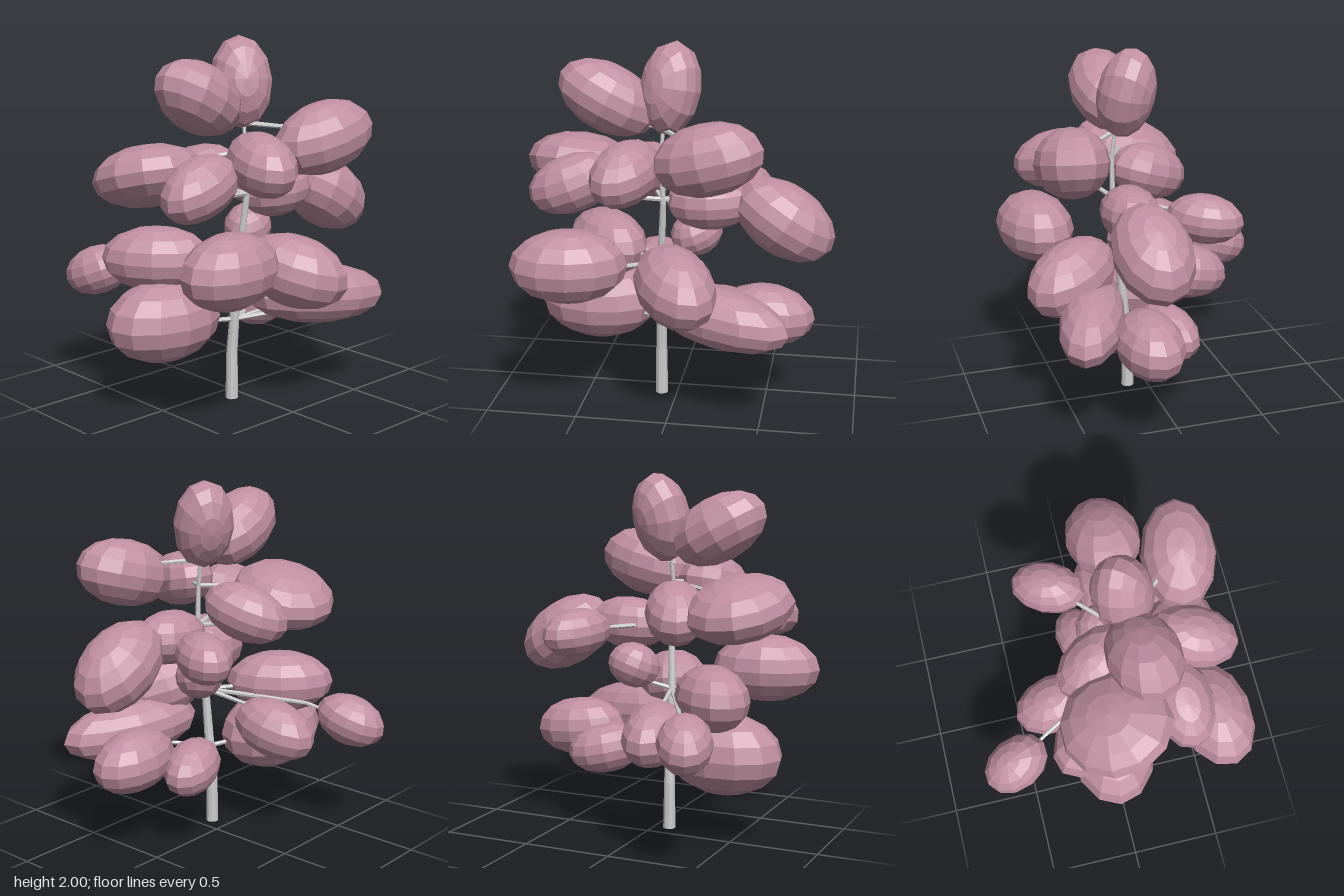
import * as THREE from 'three';

const V = (x, y, z) => new THREE.Vector3(x, y, z);
const { degToRad } = THREE.MathUtils;
const UP = V(0, 1, 0);
const PLUMPNESS = 0.63; // usual half height of a clump relative to its half length
const FLATNESS = 1.07;  // usual half width relative to half height

// Gently bending trunk line, base to top
const TRUNK = [
  V(0.11, 0, 0.087), V(0.11, 0.27, 0.087), V(0.155, 0.8, 0.08),
  V(0.195, 1.15, 0.06), V(0.195, 1.4, 0.07), V(0.17, 1.6, 0.06),
];
const trunkRadius = (y) => 0.036 - 0.017 * y;

// Heights where branches leave the trunk
const WHORLS = [0.46, 0.8, 1.17, 1.4, 1.55];

// Leaf clumps: x, y, z, heading (0 front, 90 left) and rise in degrees,
// half length, then own half height and half width if unusual
const CLUMPS = [
  // crown
  [0.12, 1.76, 0.03, -121, 77, 0.25],
  [0.15, 1.705, 0.36, 6, 29, 0.285],
  // upper tier
  [0.49, 1.48, -0.22, 171, 15, 0.298],
  [0.46, 1.38, 0.21, 72, -13, 0.25],
  [0.335, 1.28, 0.52, 5, -21, 0.245],
  [-0.03, 1.3, 0.55, 75, 17, 0.31, 0.165, 0.295],
  [-0.05, 1.26, 0.19, -65, -20, 0.25],
  [-0.2, 1.14, -0.335, -117, -6, 0.21],
  [0.17, 1.16, -0.19, 180, 3, 0.235],
  [0.17, 1.08, -0.59, -177, -33, 0.3, 0.19, 0.212],
  // lower tier
  [0.04, 0.94, -0.1, -146, 23, 0.15, 0.125],
  [0.54, 0.89, 0.505, 9, 0, 0.31],
  [0.46, 0.775, -0.045, 123, -16, 0.295, 0.192],
  [-0.11, 0.82, 0.43, -50, 0, 0.305, 0.178],
  [-0.28, 0.635, 0.17, -84, -15, 0.25],
  [-0.58, 0.675, 0.475, -68, -21, 0.2, 0.138],
  [0.41, 0.6, -0.27, 159, -5, 0.41, 0.165],
  [-0.02, 0.503, 0.467, -5, 0, 0.335, 0.225],
  [0.16, 0.53, -0.5, -177, -5, 0.268],
  [-0.03, 0.465, -0.24, -160, -12, 0.22],
];

// Point on the trunk at a given height
function trunkAt(y) {
  const i = TRUNK.findIndex((p) => p.y > y);
  const a = TRUNK[i - 1], b = TRUNK[i];
  return a.clone().lerp(b, (y - a.y) / (b.y - a.y));
}

export function createModel() {
  const tree = new THREE.Group();
  tree.name = 'tree';
  const bark = new THREE.MeshStandardMaterial({ color: 0xcccccc, flatShading: true });
  const leaf = new THREE.MeshStandardMaterial({ color: 0xc08fa0, flatShading: true });

  function group(name) {
    const g = new THREE.Group();
    g.name = name;
    tree.add(g);
    return g;
  }

  // Tapered rod between two points
  function rod(name, a, b, ra, rb, sides, parent) {
    const d = b.clone().sub(a);
    const mesh = new THREE.Mesh(new THREE.CylinderGeometry(rb, ra, d.length(), sides), bark);
    mesh.position.copy(a).addScaledVector(d, 0.5);
    mesh.quaternion.setFromUnitVectors(UP, d.normalize());
    mesh.name = name;
    parent.add(mesh);
  }

  // Trunk
  const trunk = group('trunk');
  for (let i = 1; i < TRUNK.length; i++) {
    const a = TRUNK[i - 1], b = TRUNK[i];
    rod('trunkSegment', a, b, trunkRadius(a.y), trunkRadius(b.y), 10, trunk);
  }

  // Leaf clumps, each on its own branch
  const branches = group('branches');
  const foliage = group('foliage');
  const ball = new THREE.SphereGeometry(1, 12, 8);
  for (const [x, y, z, heading, rise, half, height = half * PLUMPNESS, width = height * FLATNESS] of CLUMPS) {
    const clump = new THREE.Mesh(ball, leaf);
    clump.name = 'leafClump';
    clump.position.set(x, y, z);
    clump.rotation.set(-degToRad(rise), degToRad(heading), 0, 'YXZ');
    clump.scale.set(width, height, half);
    foliage.add(clump);

    // Branch leaves the nearest whorl almost level, then turns into the clump
    const whorl = WHORLS.reduce((a, b) => (Math.abs(b - y) < Math.abs(a - y) ? b : a));
    const root = trunkAt(whorl);
    const bend = root.clone().lerp(clump.position, 0.7);
    bend.y = THREE.MathUtils.lerp(whorl, y, 0.35);
    rod('branch', root, bend, 0.014, 0.011, 6, branches);
    rod('branchTip', bend, clump.position, 0.011, 0.007, 6, branches);
  }
  return tree;
}
